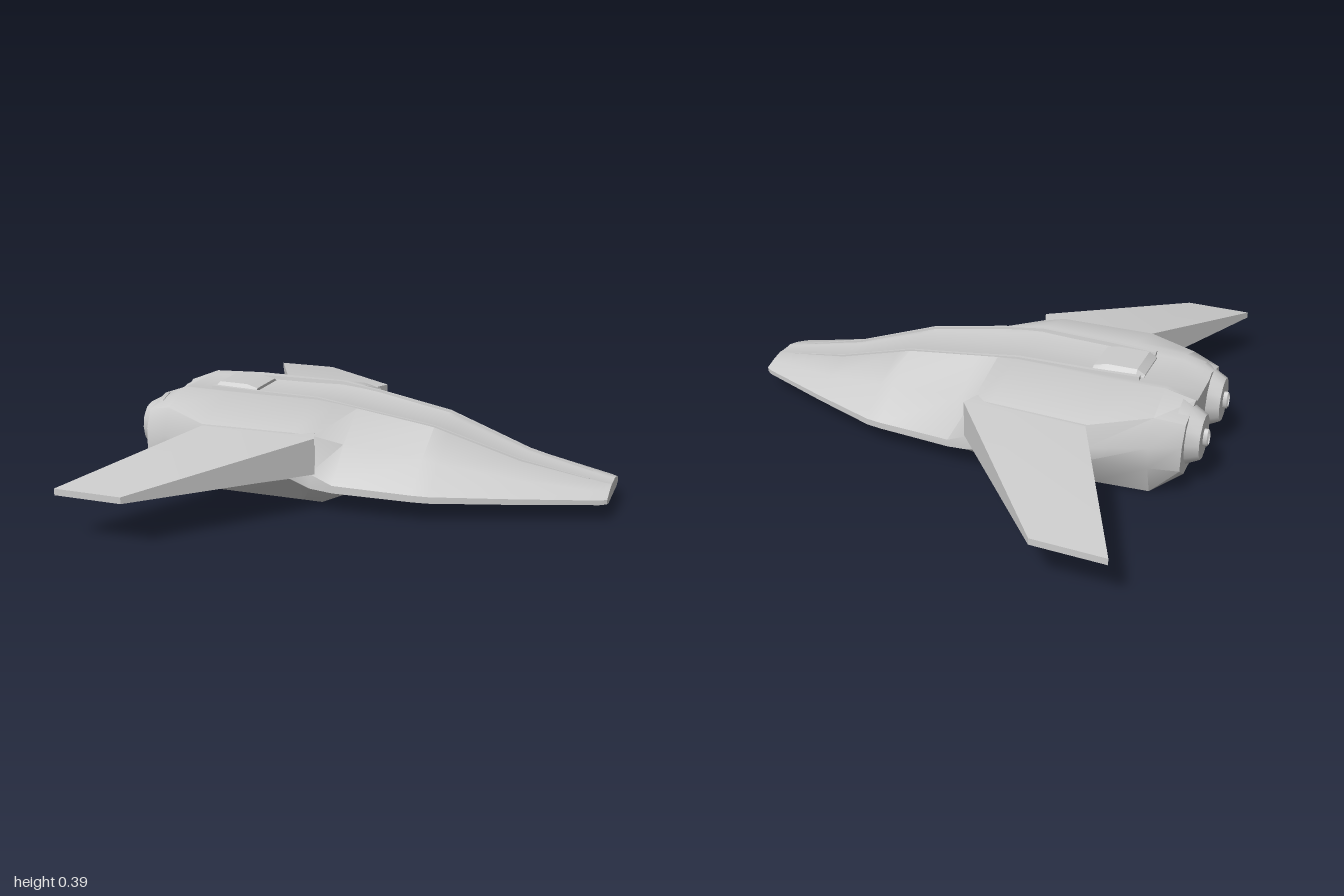
import * as THREE from 'three';
import { toCreasedNormals } from 'three/addons/utils/BufferGeometryUtils.js';

const material = new THREE.MeshStandardMaterial({ color: 0xcccccc });
const mix = THREE.MathUtils.lerp;

// Skins closed rings of [x, y, z] points and caps both ends.
// Each ring runs counter-clockwise when seen from the last ring's end.
function loft(rings, crease) {
  const pos = [];
  const tri = (...pts) => pts.forEach((p) => pos.push(...p));
  const n = rings[0].length;
  const middle = (ring) => [0, 1, 2].map((k) => ring.reduce((s, p) => s + p[k], 0) / n);
  const first = rings[0], last = rings[rings.length - 1];
  for (let j = 0; j < n; j++) {
    const k = (j + 1) % n;
    for (let i = 0; i + 1 < rings.length; i++) {
      const a = rings[i], b = rings[i + 1];
      tri(a[j], a[k], b[j]);
      tri(a[k], b[k], b[j]);
    }
    tri(middle(first), first[k], first[j]);
    tri(middle(last), last[j], last[k]);
  }
  const geo = new THREE.BufferGeometry();
  geo.setAttribute('position', new THREE.Float32BufferAttribute(pos, 3));
  return toCreasedNormals(geo, crease);
}

function addMesh(parent, name, geometry) {
  const mesh = new THREE.Mesh(geometry, material);
  mesh.name = name;
  parent.add(mesh);
  return mesh;
}

// Mirrors a half section of [z, y] points into a ring at x
function hullRing(x, top, side, bottom) {
  const half = [[side[0][0] * 0.75, top], ...side];
  const left = half.map(([z, y]) => [x, y, z]);
  const right = half.map(([z, y]) => [x, y, -z]).reverse();
  return [[x, top, 0], ...left, [x, bottom, 0], ...right];
}

// Wide rear body: ridge, shoulder, side top, side bottom, chine
function rearRings() {
  return [
    hullRing(-0.90, 0.315, [[0.12, 0.33], [0.25, 0.295], [0.285, 0.22], [0.29, 0.12], [0.22, 0.07]], 0.07),
    hullRing(-0.79, 0.365, [[0.15, 0.372], [0.29, 0.32], [0.34, 0.22], [0.33, 0.13], [0.28, 0]], 0),
    hullRing(-0.58, 0.365, [[0.17, 0.376], [0.41, 0.306], [0.43, 0.22], [0.43, 0.165], [0.3, 0]], 0),
    hullRing(-0.20, 0.362, [[0.16, 0.375], [0.40, 0.306], [0.43, 0.19], [0.43, 0.13], [0.3, 0]], 0),
    hullRing(-0.12, 0.352, [[0.15, 0.364], [0.38, 0.295], [0.43, 0.16], [0.43, 0.10], [0.3, 0]], 0),
  ];
}

// Tapering nose with a thin lip along its widest line
function noseRing(x, top, ridge, width) {
  const t = x + 0.03;
  const lip = 0.12 - 0.032 * t;
  return hullRing(x, top, [
    [ridge, top + 0.012 - 0.01 * t],
    [mix(ridge, width, 0.55), mix(top, lip, 0.42)],
    [width, lip],
    [width, 0.09 - 0.02 * t],
    [width * 0.7, 0.04 + 0.02 * t],
  ], 0.025 + 0.037 * t);
}

function hullGeometry() {
  return loft([
    ...rearRings(),
    noseRing(-0.03, 0.338, 0.145, 0.425),
    noseRing(0.28, 0.288, 0.12, 0.40),
    noseRing(0.34, 0.268, 0.113, 0.39),
    noseRing(0.62, 0.178, 0.08, 0.287),
    noseRing(0.94, 0.118, 0.045, 0.16),
    noseRing(0.965, 0.115, 0.04, 0.14),
  ], 0.75);
}

// Wing section at z: trailing and leading x, underside and top y
function wingSection(z, s, trail, lead, low, high) {
  const ring = [[trail, low, s * z], [lead, low, s * z], [lead, high, s * z], [trail, high, s * z]];
  return s > 0 ? ring : ring.reverse();
}

function wingGeometry(s) {
  return loft([
    wingSection(0.36, s, -0.55, -0.125, 0.16, 0.303),
    wingSection(0.425, s, -0.58, -0.10, 0.158, 0.3),
    wingSection(1, s, -0.86, -0.59, 0.18, 0.205),
  ], 0.5);
}

// Centre line of a rail along the canopy edge
const railPath = [
  [-0.68, 0.372, 0.11], [-0.5, 0.372, 0.125], [-0.2, 0.372, 0.138], [-0.03, 0.348, 0.137],
  [0.28, 0.298, 0.115], [0.62, 0.186, 0.077], [0.88, 0.13, 0.05],
];

function railGeometry(s) {
  const rings = railPath.map(([x, y, z], i) => {
    const w = 0.009 - i * 0.001, h = 0.008 - i * 0.0008;
    return [[x, y + h, s * z - w], [x, y + h, s * z + w],
      [x, y - 0.02, s * z + w * 1.5], [x, y - 0.02, s * z - w * 1.5]];
  });
  return loft(rings, 0.5);
}

// Raised hatch plate behind the canopy
function plateGeometry() {
  const ring = (x, y, w) => [[x, y, -w], [x, y, w], [x, 0.36, w + 0.025], [x, 0.36, -w - 0.025]];
  return loft([
    ring(-0.69, 0.37, 0.075), ring(-0.66, 0.39, 0.08),
    ring(-0.54, 0.388, 0.08), ring(-0.49, 0.376, 0.085),
  ], 0.5);
}

// Tapered tail lobe with an oval nozzle
function makeEngine() {
  const engine = new THREE.Group();
  const lobe = addMesh(engine, 'engineLobe',
    toCreasedNormals(new THREE.CylinderGeometry(0.075, 0.115, 0.09, 12), 0.6));
  lobe.rotation.z = Math.PI / 2;
  const profile = [[0.03, -0.03], [0.03, 0.015], [0.022, 0.02], [0.016, 0.005], [0, 0.005]];
  const nozzle = addMesh(engine, 'nozzle', toCreasedNormals(
    new THREE.LatheGeometry(profile.map(([r, y]) => new THREE.Vector2(r, y)), 16), 0.5));
  nozzle.rotation.z = Math.PI / 2;
  nozzle.position.x = -0.045;
  nozzle.scale.z = 0.7;
  engine.scale.y = 1.2;
  return engine;
}

export function createModel() {
  const ship = new THREE.Group();
  ship.name = 'spacecraft';
  addMesh(ship, 'hull', hullGeometry());
  addMesh(ship, 'hatchPlate', plateGeometry());

  // Wings, rails and engines mirror across the hull's long axis
  for (const s of [1, -1]) {
    const side = s > 0 ? 'front' : 'back';
    addMesh(ship, side + 'Wing', wingGeometry(s));
    addMesh(ship, side + 'CanopyRail', railGeometry(s));
    const engine = makeEngine();
    engine.name = side + 'Engine';
    engine.position.set(-0.905, 0.205, s * 0.155);
    ship.add(engine);
  }
  return ship;
}
